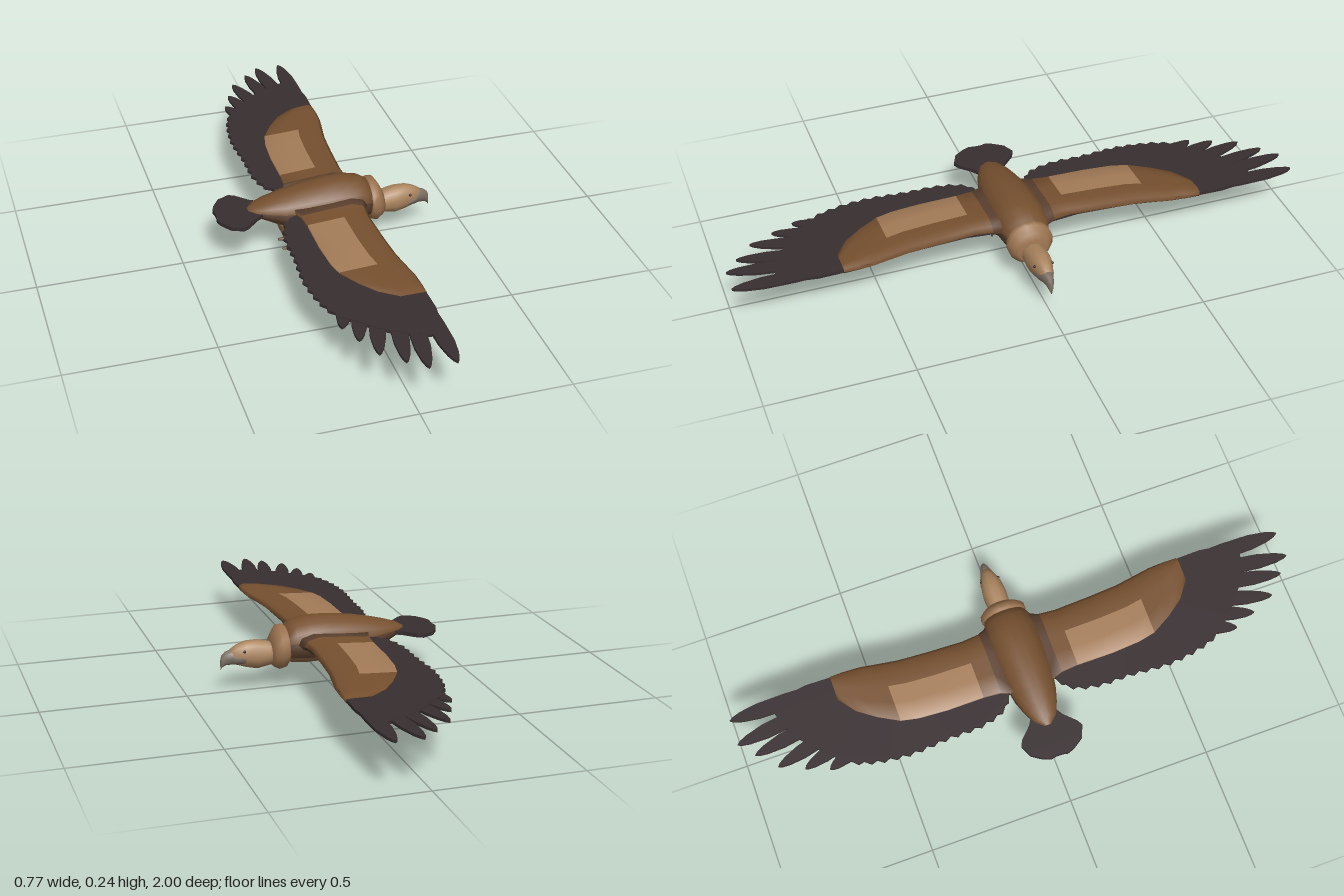
import * as THREE from 'three';

const mat = (name, color, side = THREE.FrontSide) => {
  const m = new THREE.MeshStandardMaterial({ color, side });
  m.name = name;
  return m;
};

export function createModel() {
  const bird = new THREE.Group();
  bird.name = 'soaringBird';
  const brown = mat('brown', 0x76502f), umber = mat('darkBrown', 0x5b402e);
  const buff = mat('buff', 0xa47c58), belly = mat('bellyTan', 0x8a6644);
  const skin = mat('skinTan', 0xaa845e), ruffTan = mat('ruffTan', 0x9c7450);
  const dark = mat('flightFeather', 0x382e30), horn = mat('horn', 0x7d7064);

  const add = (parent, name, geo, material) => {
    const m = new THREE.Mesh(geo, material);
    m.name = name;
    parent.add(m);
    return m;
  };

  // Skin a row of closed rings; pick(i, j) gives the material index of each quad
  function loft(rings, pick = () => 0, flip = false) {
    const n = rings[0].length, last = rings.length - 1, pos = [], buckets = [];
    rings.forEach(r => r.forEach(p => pos.push(...p)));
    const tri = (k, a, b, c) => (buckets[k] ??= []).push(...(flip ? [a, c, b] : [a, b, c]));
    for (let i = 0; i < last; i++) for (let j = 0; j < n; j++) {
      const k = (j + 1) % n, a = i * n + j, b = i * n + k, c = b + n, d = a + n, m = pick(i, j);
      tri(m, a, b, d);
      tri(m, b, c, d);
    }
    // end caps
    [0, last].forEach(i => {
      const mid = pos.length / 3;
      pos.push(...[0, 1, 2].map(q => rings[i].reduce((s, p) => s + p[q], 0) / n));
      for (let j = 0; j < n; j++) {
        const a = i * n + j, b = i * n + (j + 1) % n, m = pick(Math.min(i, last - 1), j);
        if (i === 0) tri(m, mid, b, a); else tri(m, mid, a, b);
      }
    });
    const g = new THREE.BufferGeometry(), index = [];
    buckets.forEach((b, k) => { g.addGroup(index.length, b.length, k); index.push(...b); });
    g.setAttribute('position', new THREE.Float32BufferAttribute(pos, 3));
    g.setIndex(index);
    g.computeVertexNormals();
    return g;
  }

  // Elliptical rings along x from [x, centre y, half height, half width]
  const ovals = (rows, n = 16) => rows.map(([x, y, ry, rz]) => Array.from({ length: n }, (_, j) => {
    const a = (j + 0.5) / n * Math.PI * 2;
    return [x, y + ry * Math.cos(a), rz * Math.sin(a)];
  }));

  // Flat horizontal plate from an [x, z] outline
  function plate(points, top, depth) {
    const shape = new THREE.Shape(points.map(p => new THREE.Vector2(...p)));
    const g = new THREE.ExtrudeGeometry(shape, { depth, bevelEnabled: false });
    return g.rotateX(Math.PI / 2).translate(0, top, 0);
  }

  // Pointed, rounded feather outline between two [x, z] points
  function feather([x0, z0], [x1, z1], w) {
    const dx = x1 - x0, dz = z1 - z0, l = Math.hypot(dx, dz);
    const side = [[0, 0.7], [0.5, 1], [0.75, 0.95], [0.9, 0.62], [0.97, 0.3]];
    const at = ([t, h], s) => [x0 + dx * t - s * dz / l * h * w, z0 + dz * t + s * dx / l * h * w];
    return [...side.map(p => at(p, 1)), [x1, z1], ...side.map(p => at(p, -1)).reverse()];
  }

  // Body: brown back, dark flanks, tan belly
  const body = ovals([
    [-0.27, 0.172, 0.006, 0.012], [-0.245, 0.170, 0.022, 0.04], [-0.2, 0.166, 0.04, 0.06],
    [-0.15, 0.159, 0.06, 0.075], [-0.08, 0.161, 0.072, 0.086], [0.01, 0.164, 0.08, 0.092],
    [0.08, 0.163, 0.081, 0.092], [0.13, 0.16, 0.073, 0.085], [0.165, 0.152, 0.06, 0.07]]);
  add(bird, 'body', loft(body, (i, j) => {
    const k = Math.min((j + 1) % 16, 15 - j);
    const up = Math.min(j, 14 - j < 0 ? 0 : 14 - j, k);
    return up <= 2 ? 0 : up <= 4 ? 1 : 2;
  }), [brown, umber, belly]);

  // Ruff, head and hooked bill
  add(bird, 'ruff', loft(ovals([
    [0.148, 0.152, 0.06, 0.07], [0.16, 0.147, 0.074, 0.08], [0.18, 0.144, 0.077, 0.08],
    [0.197, 0.136, 0.06, 0.064], [0.208, 0.13, 0.044, 0.05]])), [ruffTan]);
  add(bird, 'head', loft(ovals([
    [0.195, 0.125, 0.04, 0.042], [0.215, 0.125, 0.042, 0.04], [0.255, 0.126, 0.051, 0.042],
    [0.295, 0.13, 0.046, 0.037], [0.325, 0.13, 0.036, 0.027], [0.348, 0.128, 0.024, 0.017]], 12)), [skin]);
  add(bird, 'bill', loft(ovals([
    [0.3, 0.117, 0.02, 0.036], [0.325, 0.12, 0.025, 0.029], [0.345, 0.124, 0.027, 0.021],
    [0.365, 0.12, 0.024, 0.014], [0.378, 0.11, 0.022, 0.009], [0.382, 0.099, 0.019, 0.004]], 10)), [horn]);

  // Wing outline [x, z], and the primaries as base and tip
  const vane = [[0.12, 0.06], [0.105, 0.2], [0.115, 0.4], [0.143, 0.55], [0.147, 0.72], [0.13, 0.84],
    [0.085, 0.85], [0.03, 0.83], [-0.025, 0.8], [-0.065, 0.77], [-0.11, 0.72]];
  const primaries = [[[0.117, 0.6], [0.115, 1], 0.028], [[0.08, 0.6], [0.025, 1], 0.027],
    [[0.04, 0.57], [-0.03, 0.955], 0.026], [[0, 0.54], [-0.095, 0.895], 0.026],
    [[-0.04, 0.52], [-0.132, 0.812], 0.025], [[-0.07, 0.5], [-0.163, 0.735], 0.025]];
  // Scalloped trailing edge
  const edge = new THREE.CatmullRomCurve3([[-0.16, 0.68], [-0.19, 0.6], [-0.208, 0.47], [-0.2, 0.33],
    [-0.196, 0.2], [-0.17, 0.12], [-0.11, 0.07]].map(([x, z]) => new THREE.Vector3(x, 0, z)));
  edge.getSpacedPoints(30).forEach((p, i) => vane.push([p.x + (i % 2 ? 0.008 : -0.004), p.z]));

  // Covert sections: [z, front x, back x, centre y, half thickness]
  const coverts = [[0.05, 0.145, -0.13, 0.17, 0.036], [0.11, 0.118, -0.11, 0.172, 0.028],
    [0.17, 0.112, -0.105, 0.174, 0.022], [0.3, 0.118, -0.105, 0.172, 0.021],
    [0.4, 0.125, -0.098, 0.171, 0.02], [0.46, 0.135, -0.085, 0.17, 0.018],
    [0.53, 0.147, -0.045, 0.169, 0.017], [0.59, 0.15, 0.0, 0.1685, 0.016],
    [0.635, 0.149, 0.06, 0.1685, 0.015]];
  const top = [[0, 0], [0.06, 0.6], [0.22, 1], [0.42, 0.9], [0.7, 0.7], [1, 0.5]];
  const foil = [...top, ...top.slice(1).reverse().map(([t, h]) => [t, -h])];

  for (const s of [1, -1]) {
    const wing = new THREE.Group();
    wing.name = s > 0 ? 'rightWing' : 'leftWing';
    bird.add(wing);
    const flip = pts => pts.map(([x, z]) => [x, z * s]);
    add(wing, 'flightFeathers', plate(flip(vane), 0.174, 0.011), dark);
    primaries.forEach(([a, b, w], i) =>
      add(wing, 'primaryFeather', plate(flip(feather(a, b, w)), 0.1735 - i * 0.0004, 0.009), dark));
    const rings = coverts.map(([z, f, b, y, h]) => foil.map(([t, k]) => [f + (b - f) * t, y + h * k, z * s]));
    add(wing, 'coverts', loft(rings, (i, j) => {
      if (j < 5) return i < 1 ? 1 : i > 1 && i < 5 && j > 2 ? 2 : 0;
      if (j === 5) return i > 1 && i < 5 ? 2 : 0;
      return i < 6 && j < 8 ? 3 : 1;
    }, s < 0), [brown, umber, buff, belly]);

    // Eye
    const eye = add(bird, 'eye', new THREE.SphereGeometry(0.005, 10, 8), dark);
    eye.position.set(0.305, 0.147, s * 0.031);

    // Leg: feathered thigh, bare shank, spread toes
    const leg = new THREE.Group();
    leg.name = s > 0 ? 'rightLeg' : 'leftLeg';
    leg.position.z = s * 0.03;
    bird.add(leg);
    const limb = (name, a, b, r0, r1, m) => {
      const from = new THREE.Vector3(...a), dir = new THREE.Vector3(...b).sub(from);
      const mesh = add(leg, name, new THREE.CylinderGeometry(r1, r0, dir.length(), 8), m);
      mesh.position.copy(from).addScaledVector(dir, 0.5);
      mesh.quaternion.setFromUnitVectors(new THREE.Vector3(0, 1, 0), dir.normalize());
    };
    limb('thigh', [-0.14, 0.115, -s * 0.003], [-0.137, 0.052, 0], 0.03, 0.013, belly);
    limb('shank', [-0.138, 0.056, 0], [-0.122, 0.014, 0], 0.012, 0.011, ruffTan);
    for (const a of [-0.35, 0, 0.35])
      limb('toe', [-0.128, 0.013, 0], [-0.128 + 0.066 * Math.cos(a), 0.009, 0.066 * Math.sin(a)], 0.009, 0.004, umber);
    limb('hindToe', [-0.12, 0.011, 0], [-0.155, 0.013, 0], 0.01, 0.004, umber);
    const foot = add(leg, 'foot', new THREE.SphereGeometry(0.012, 10, 8), umber);
    foot.scale.set(1.6, 0.75, 1);
    foot.position.set(-0.123, 0.009, 0);
  }

  // Tail fan
  const half = [[-0.2, 0.03], [-0.25, 0.06], [-0.29, 0.1], [-0.31, 0.11], [-0.335, 0.098], [-0.35, 0.092],
    [-0.365, 0.07], [-0.375, 0.055], [-0.384, 0.03], [-0.38, 0.012]];
  add(bird, 'tail', plate([...half, ...half.map(([x, z]) => [x, -z]).reverse()], 0.174, 0.014), dark);
  return bird;
}
